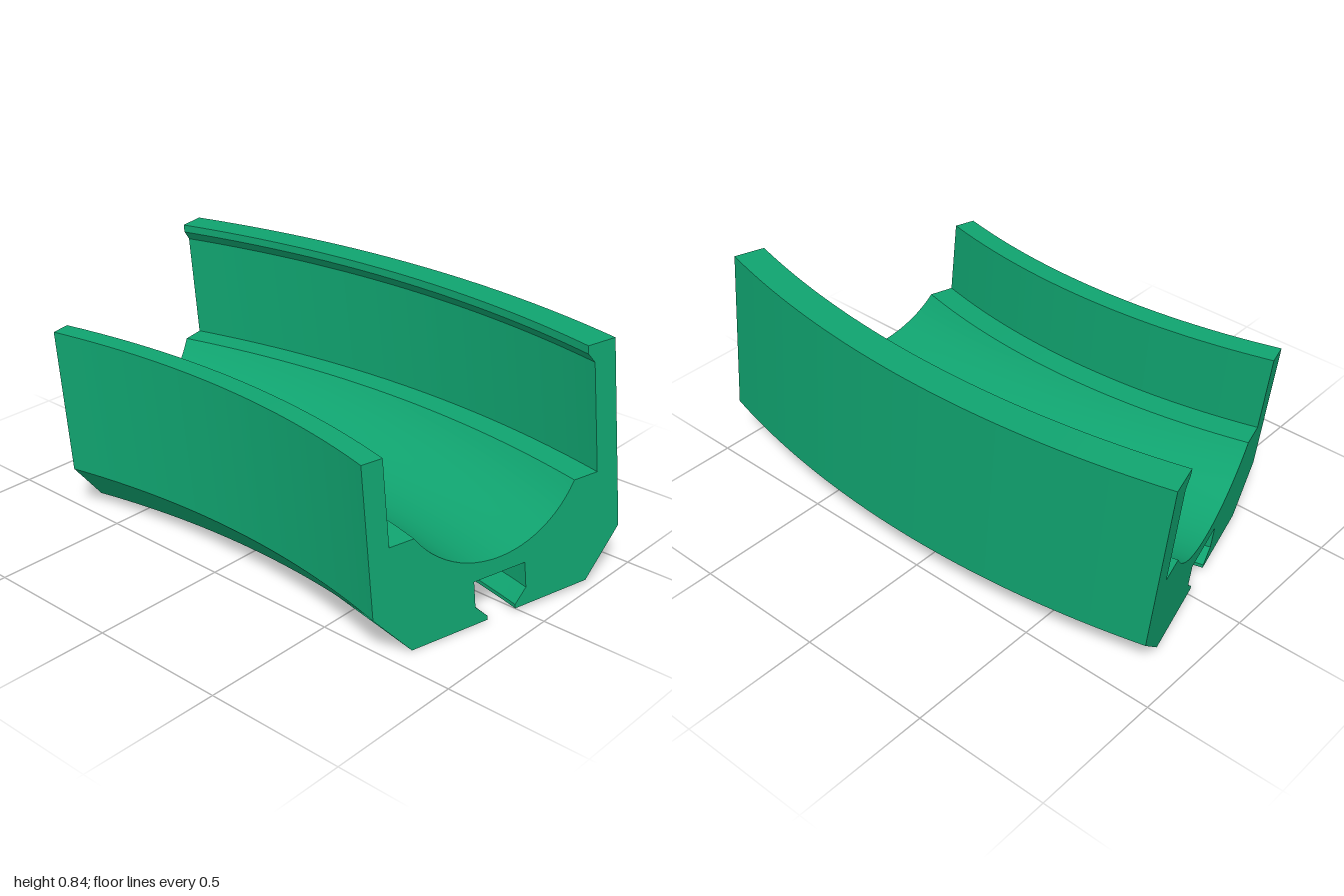
import * as THREE from 'three';

const HALF = Math.PI / 12; // half of the 30 degree arc
const TILT = 0.112; // levels the helical slope
const DROP = -0.361; // helix height per radian
const CENTRE_Z = 3.145;
const STEPS = 48;

// Maps a profile point (radius, height) at an angle along the helix into model space
function place(r, y, a) {
  const x = r * Math.sin(a);
  const h = y + DROP * a;
  return [
    x * Math.cos(TILT) - h * Math.sin(TILT),
    x * Math.sin(TILT) + h * Math.cos(TILT),
    CENTRE_Z - r * Math.cos(a),
  ];
}

const angleAt = (j) => -HALF + (2 * HALF * j) / STEPS;

// Sweeps a run of profile points along the arc; one run is shaded smoothly
function sweep(points) {
  const pos = [];
  const index = [];
  const row = STEPS + 1;
  points.forEach(([r, y], i) => {
    for (let j = 0; j <= STEPS; j++) {
      pos.push(...place(r, y, angleAt(j)));
      if (i > 0 && j > 0) {
        const a = (i - 1) * row + j - 1;
        const b = i * row + j - 1;
        index.push(a, b, b + 1, a, b + 1, a + 1);
      }
    }
  });
  const geo = new THREE.BufferGeometry();
  geo.setAttribute('position', new THREE.Float32BufferAttribute(pos, 3));
  geo.setIndex(index);
  geo.computeVertexNormals();
  return geo;
}

// Moves a flat shape's vertices by a rule
function mapShape(shape, rule, flip = false) {
  const geo = new THREE.ShapeGeometry(shape, 32);
  const p = geo.attributes.position;
  for (let i = 0; i < p.count; i++) p.setXYZ(i, ...rule(p.getX(i), p.getY(i)));
  if (flip) geo.setIndex(Array.from(geo.index.array).reverse());
  geo.computeVertexNormals();
  return geo;
}

export function createModel() {
  const model = new THREE.Group();
  const green = new THREE.MeshStandardMaterial({ color: 0x10a36f });
  green.name = 'green';
  const add = (name, geo) => {
    const mesh = new THREE.Mesh(geo, green);
    mesh.name = name;
    model.add(mesh);
    return mesh;
  };

  // Rounded channel cross-section
  const mid = 3.178;
  const bottom = 0.007;
  const groove = [];
  const reach = Math.asin(0.321 / 0.388);
  for (let i = 0; i <= 24; i++) {
    const t = reach * (1 - i / 12);
    groove.push([mid + 0.388 * Math.sin(t), 0.6 - 0.388 * Math.cos(t)]);
  }

  // Closed profile, counter-clockwise, split into named sections
  const sections = [
    ['slot', [[3.121, bottom], [3.121, 0.021], [3.075, 0.068], [3.075, 0.158],
      [3.282, 0.158], [3.282, 0.068], [3.235, 0.021], [3.235, bottom]]],
    ['backWall', [[3.535, bottom], [3.685, 0.163], [3.685, 0.824], [3.571, 0.824],
      [3.571, 0.796], [3.597, 0.762], [3.597, 0.382], groove[0]]],
    ['channel', groove],
    ['frontWall', [groove[24], [2.764, 0.382], [2.764, 0.676], [2.686, 0.676],
      [2.686, 0.16], [2.821, bottom]]],
  ];
  for (const [name, pts] of sections) {
    if (name === 'channel') {
      add(name, sweep(pts));
      continue;
    }
    for (let i = 1; i < pts.length; i++) add(name, sweep([pts[i - 1], pts[i]]));
  }

  // End faces
  const outline = sections.flatMap(([, pts]) => pts)
    .filter((p, i, all) => i === 0 || p !== all[i - 1])
    .map(([r, y]) => new THREE.Vector2(r, y));
  for (const side of [1, -1]) {
    add(side > 0 ? 'leftEnd' : 'rightEnd',
      mapShape(new THREE.Shape(outline), (r, y) => place(r, y, side * HALF), side < 0));
  }

  // Underside strips, each with a screw hole in the middle
  for (const [name, r0, r1, hole] of [
    ['frontUnderside', 2.821, 3.121, 2.925],
    ['backUnderside', 3.235, 3.535, 3.45],
  ]) {
    const edge = [];
    for (let j = 0; j <= STEPS; j++) edge.push(new THREE.Vector2(r1, angleAt(j) * hole));
    for (let j = STEPS; j >= 0; j--) edge.push(new THREE.Vector2(r0, angleAt(j) * hole));
    const shape = new THREE.Shape(edge);
    shape.holes.push(new THREE.Path().absarc(hole, 0, 0.058, 0, Math.PI * 2, true));
    add(name, mapShape(shape, (r, u) => place(r, bottom, u / hole)));

    // Countersunk bore
    const bore = [[0, 0.14], [0.034, 0.14], [0.034, 0.03], [0.058, 0]]
      .map(([x, y]) => new THREE.Vector2(x, y));
    add('screwHole', new THREE.LatheGeometry(bore, 32)).position.set(...place(hole, bottom, 0));
  }

  // Centre the piece and stand it on the ground
  const box = new THREE.Box3().setFromObject(model, true);
  const c = box.getCenter(new THREE.Vector3());
  for (const part of model.children) part.position.sub(new THREE.Vector3(c.x, box.min.y, c.z));
  return model;
}
